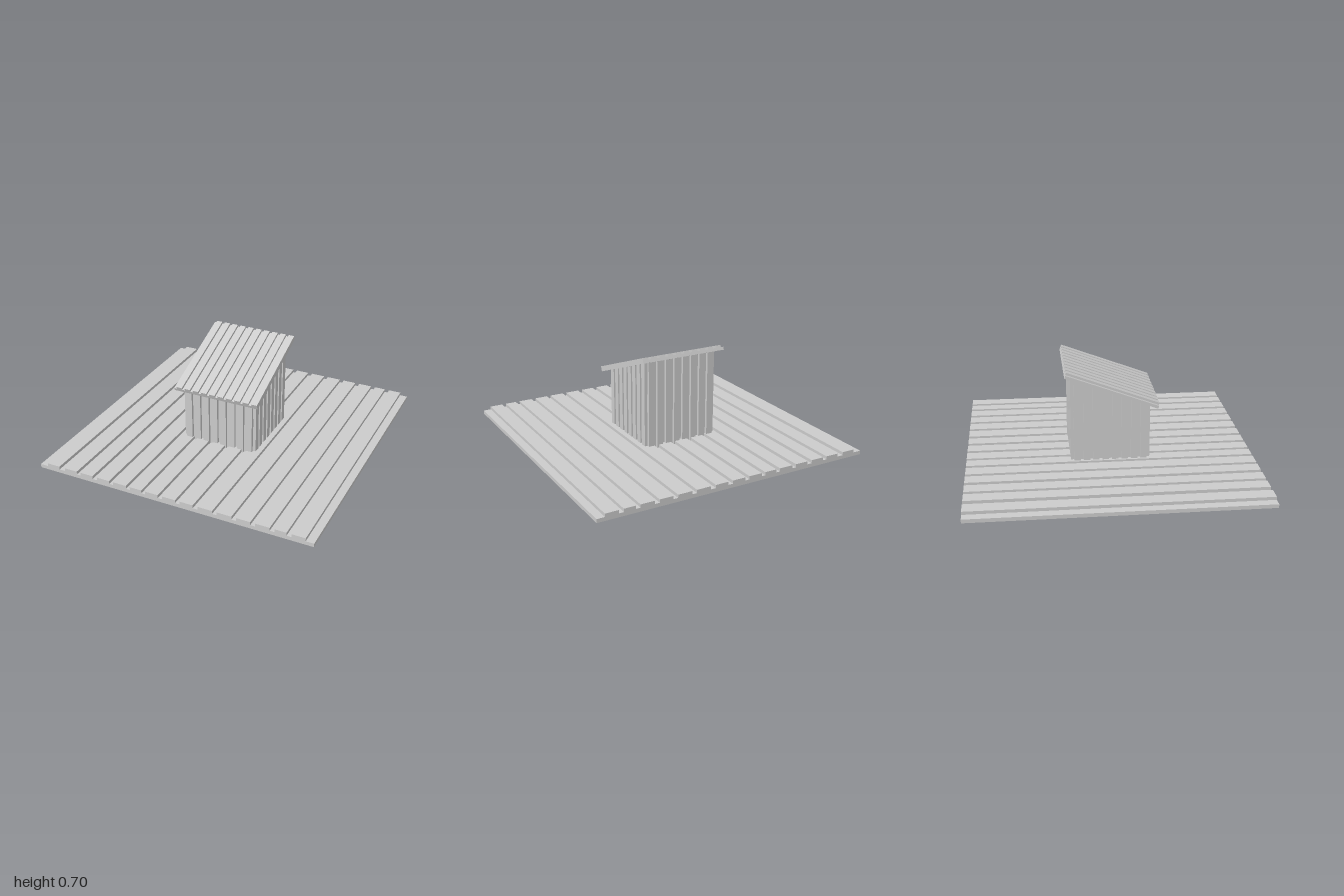
import * as THREE from 'three';

const material = new THREE.MeshStandardMaterial({ color: 0xcccccc, flatShading: true });
const SLOPE = 0.378; // roof fall towards the front

function box(parent, name, x0, x1, y0, y1, z0, z1) {
  const mesh = new THREE.Mesh(new THREE.BoxGeometry(x1 - x0, y1 - y0, z1 - z0), material);
  mesh.name = name;
  mesh.position.set((x0 + x1) / 2, (y0 + y1) / 2, (z0 + z1) / 2);
  parent.add(mesh);
  return mesh;
}

// Upright block whose top is cut to the slope of the roof
function wallBlock(parent, name, x0, x1, z0, z1) {
  const geometry = new THREE.BoxGeometry(x1 - x0, 1, z1 - z0);
  geometry.translate((x0 + x1) / 2, 0, (z0 + z1) / 2);
  const p = geometry.attributes.position;
  for (let i = 0; i < p.count; i++) {
    p.setY(i, p.getY(i) < 0 ? 0.02 : 0.553 - SLOPE * p.getZ(i));
  }
  geometry.computeVertexNormals();
  const mesh = new THREE.Mesh(geometry, material);
  mesh.name = name;
  parent.add(mesh);
}

export function createModel() {
  const model = new THREE.Group();
  model.name = 'shed';

  // Ground deck: thin slab with raised planks running front to back
  const deck = new THREE.Group();
  deck.name = 'deck';
  box(deck, 'deckSlab', -1, 1, 0, 0.026, -1, 1);
  const plankEdges = [
    [-0.94, -0.845], [-0.80, -0.705], [-0.675, -0.58], [-0.545, -0.45], [-0.42, -0.32],
    [-0.29, -0.203], [-0.175, -0.08], [-0.048, 0.047], [0.08, 0.175], [0.21, 0.313],
    [0.345, 0.448], [0.48, 0.577], [0.61, 0.708], [0.74, 0.82], [0.853, 0.945],
  ];
  for (const [a, b] of plankEdges) box(deck, 'deckPlank', a, b, 0.02, 0.048, -1, 1);
  model.add(deck);

  // Walls: plain core with vertical battens on all four sides
  const walls = new THREE.Group();
  walls.name = 'walls';
  const core = 0.255, outer = 0.275, half = 0.0225;
  wallBlock(walls, 'wallCore', -core, core, -core, core);
  for (let i = 0; i < 8; i++) {
    const c = (i - 3.5) * 0.066;
    for (const [a, b] of [[core - 0.005, outer], [-outer, -core + 0.005]]) {
      wallBlock(walls, 'endBatten', c - half, c + half, a, b);
      wallBlock(walls, 'sideBatten', a, b, c - half, c + half);
    }
  }
  model.add(walls);

  // Sloping roof: sheet with ribs running down the slope
  const roof = new THREE.Group();
  roof.name = 'roof';
  roof.position.set(0, 0.55, 0.0025);
  roof.rotation.x = Math.atan(SLOPE);
  box(roof, 'roofSheet', -0.315, 0.315, 0, 0.021, -0.34, 0.34);
  for (let i = 0; i < 10; i++) {
    const c = -0.273 + i * 0.063;
    box(roof, 'roofRib', c - 0.021, c + 0.021, 0.015, 0.037, -0.34, 0.34);
  }
  model.add(roof);

  return model;
}
